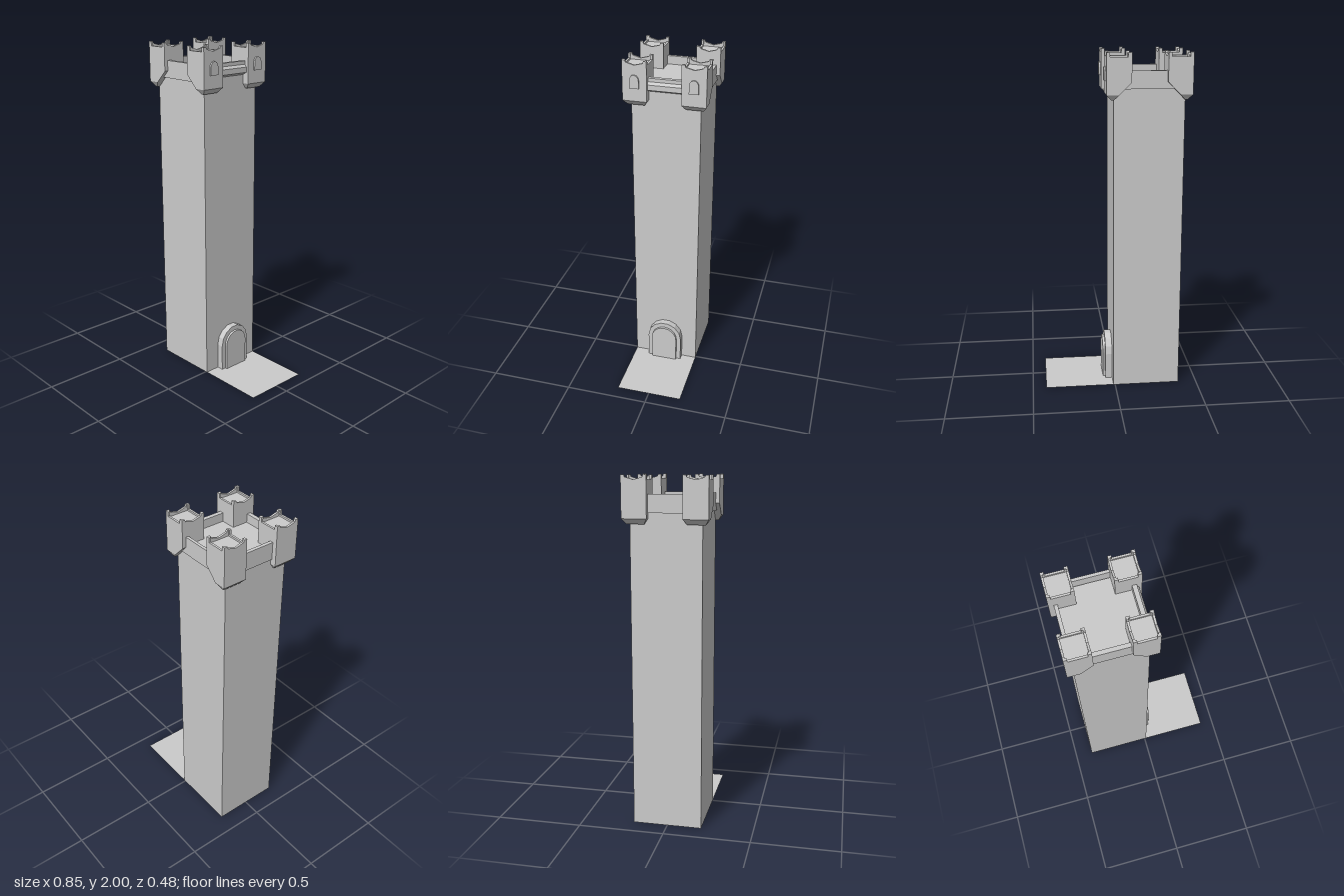
import * as THREE from 'three';
import { ConvexGeometry } from 'three/addons/geometries/ConvexGeometry.js';

const mat = new THREE.MeshStandardMaterial({ color: 0xcccccc, flatShading: true });
const sheet = new THREE.MeshStandardMaterial({ color: 0xcccccc, side: THREE.DoubleSide });
const CX = -0.19; // tower centre in x

function add(parent, name, geometry, material = mat) {
  const mesh = new THREE.Mesh(geometry, material);
  mesh.name = name;
  parent.add(mesh);
  return mesh;
}

// Box given by its minimum and maximum corners
function block(parent, name, [x0, y0, z0], [x1, y1, z1]) {
  const g = new THREE.BoxGeometry(x1 - x0, y1 - y0, z1 - z0);
  g.translate((x0 + x1) / 2, (y0 + y1) / 2, (z0 + z1) / 2);
  return add(parent, name, g);
}

// Outline in x and y, extruded from z0 to z1
function extrudeZ(points, z0, z1) {
  const shape = new THREE.Shape(points.map(([x, y]) => new THREE.Vector2(x, y)));
  return new THREE.ExtrudeGeometry(shape, { depth: z1 - z0, bevelEnabled: false }).translate(0, 0, z0);
}

// Outline in z and y, extruded from x0 to x1
function extrudeX(points, x0, x1) {
  return extrudeZ(points.map(([z, y]) => [-z, y]), x0, x1).rotateY(Math.PI / 2);
}

// Round-headed outline: straight sides to the spring line, then a faceted arch
function arch(half, bottom, spring, top, segments) {
  const points = [[-half, bottom], [half, bottom]];
  for (let i = 0; i <= segments; i++) {
    const a = (Math.PI * i) / segments;
    points.push([half * Math.cos(a), spring + (top - spring) * Math.sin(a)]);
  }
  return points;
}

// Corner turret whose outer face looks along +x
function turret() {
  const g = new THREE.Group();
  const a = 0.1, b = 0.24, h = 0.07, t = 0.012, deck = 1.965, rim = 1.975;
  g.name = 'turret';
  add(g, 'turretBody', extrudeZ(
    [[b, 1.77], [b, deck], [a, deck], [a, 1.84], [0.17, 1.77]], -h, h));
  // Tapered foot
  const foot = [];
  for (const s of [-1, 1]) {
    for (const [x, y, z] of [[0.17, 1.77, h], [b, 1.77, h], [0.198, 1.74, 0.05], [0.212, 1.74, 0.05]]) {
      foot.push(new THREE.Vector3(x, y, z * s));
    }
  }
  add(g, 'turretFoot', new ConvexGeometry(foot));
  // Rim walls with dipped tops between the corner merlons
  const dipped = [[-h, deck], [h, deck], [h, 2], [0.052, 2], [0.048, 1.988], [0, rim],
    [-0.048, 1.988], [-0.052, 2], [-h, 2]];
  for (const x of [a, b - t]) add(g, 'turretSideRim', extrudeX(dipped, x, x + t));
  for (const z of [-h, h - t]) {
    block(g, 'turretRim', [a + t, deck, z], [b - t, rim, z + t]);
    for (const x of [a + t, b - t - 0.008]) {
      block(g, 'merlon', [x, rim, z], [x + 0.008, 2, z + t]);
    }
  }
  return g;
}

export function createModel() {
  const model = new THREE.Group();
  model.name = 'tower';

  // Shaft and roof deck
  block(model, 'shaft', [-0.39, 0, -0.2], [0.01, 1.8, 0.2]);
  block(model, 'roofDeck', [-0.385, 1.8, -0.195], [0.005, 1.85, 0.195]);

  // Parapets between the turrets
  block(model, 'frontParapet', [-0.35, 1.8, 0.192], [-0.03, 1.9, 0.216]);
  block(model, 'backParapet', [-0.35, 1.8, -0.216], [-0.03, 1.9, -0.199]);
  block(model, 'rightParapet', [-0.4, 1.8, -0.11], [-0.38, 1.9, 0.11]);
  add(model, 'gateParapet', extrudeZ(
    [[0, 1.8], [0.01, 1.8], [0.01, 1.82], [0.038, 1.835], [0.038, 1.865], [0.025, 1.88],
      [0.025, 1.9], [0, 1.9]], -0.11, 0.11));

  // Four turrets, those on the gate side with an arched window
  for (const side of [1, -1]) {
    for (const end of [1, -1]) {
      const t = turret();
      t.position.set(CX + 0.003, 0, end * 0.168);
      if (side < 0) t.rotation.y = Math.PI;
      model.add(t);
      if (side > 0) {
        add(t, 'turretWindow', extrudeX(arch(0.027, 1.845, 1.89, 1.922, 6), 0.235, 0.25));
      }
    }
  }

  // Arched gate
  add(model, 'gateFrame', extrudeX(arch(0.107, 0, 0.16, 0.27, 7), -0.03, 0.05));
  add(model, 'gateDoor', extrudeX(arch(0.08, 0, 0.16, 0.24, 10), -0.01, 0.064));

  // Flat forecourt
  const court = new THREE.PlaneGeometry(0.41, 0.4).rotateX(-Math.PI / 2).translate(0.215, 0.001, 0);
  add(model, 'forecourt', court, sheet);
  return model;
}
